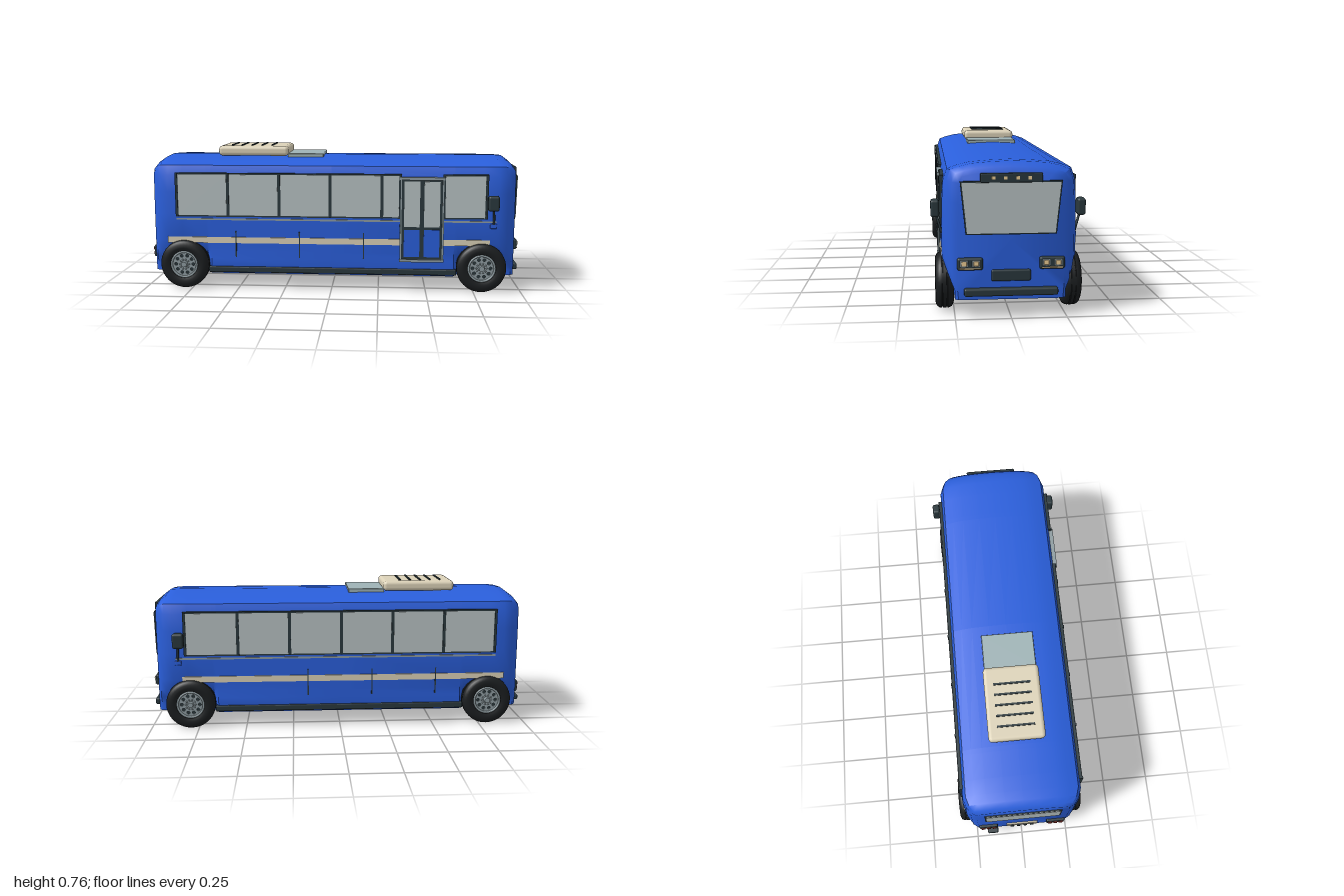
import * as THREE from 'three';
import { toCreasedNormals, mergeVertices } from 'three/addons/utils/BufferGeometryUtils.js';
import { RoundedBoxGeometry } from 'three/addons/geometries/RoundedBoxGeometry.js';

const paint = (color) => new THREE.MeshStandardMaterial({ color });
const BLUE = paint(0x2a5fdc), DARK = paint(0x2a383d), TYRE = paint(0x1b1e20), CREAM = paint(0xdcd2b8);
const GLASS = paint(0xb9c3c4), SILVER = paint(0x8f9da2), PANEL = paint(0x9fb3b6), LAMP = paint(0xf0cf96), RED = paint(0xa03a30);

function add(parent, name, geometry, material, x = 0, y = 0, z = 0) {
  const mesh = new THREE.Mesh(geometry, material);
  mesh.name = name;
  mesh.position.set(x, y, z);
  parent.add(mesh);
  return mesh;
}

// Box given by its limits on each axis
function block(parent, name, material, [x0, x1], [y0, y1], [z0, z1], radius = 0) {
  const size = [x1 - x0, y1 - y0, z1 - z0];
  const geometry = radius ? new RoundedBoxGeometry(...size, 2, radius) : new THREE.BoxGeometry(...size);
  return add(parent, name, geometry, material, (x0 + x1) / 2, (y0 + y1) / 2, (z0 + z1) / 2);
}

// Body shell: one cross-section lofted along x, tapered at the ends and tucked in at the wheels
function bodyGeometry() {
  const half = [[0, 0.08], [0.24, 0.08], [0.3, 0.08], [0.305, 0.12], [0.305, 0.16], [0.305, 0.2], [0.305, 0.26],
    [0.305, 0.4], [0.303, 0.52], [0.297, 0.61], [0.28, 0.66], [0.235, 0.676], [0.18, 0.689], [0.09, 0.696], [0, 0.7]];
  const ring = [...half, ...half.slice(1, -1).reverse().map(([z, y]) => [-z, y])];
  const ends = [[0.645, 1, 1], [0.67, 1, 1], [0.8, 1, 1], [0.875, 1, 1], [0.92, 0.95, 0.97], [0.95, 0.87, 0.75], [0.966, 0.78, 0.55]];
  const stations = [...ends.map(([x, w, t]) => [-x, w, t]).reverse(), [0, 1, 1], ...ends];
  const n = ring.length, points = [], index = [];
  for (const [x, w, t] of stations) {
    for (const [z, y] of ring) {
      let width = Math.abs(z) * w;
      if (Math.abs(x) > 0.65) width = Math.min(width, 0.25 + Math.max(0, y - 0.12) * 0.4);
      points.push(x, y > 0.6 ? 0.6 + (y - 0.6) * t : y, Math.sign(z) * width);
    }
  }
  const last = stations.length - 1, rear = points.length / 3, front = rear + 1;
  points.push(-0.966, 0.35, 0, 0.966, 0.35, 0);
  for (let j = 0; j < n; j++) {
    const k = (j + 1) % n;
    for (let i = 0; i < last; i++) {
      const a = i * n + j, b = a + n, c = i * n + k, d = c + n;
      index.push(a, b, c, b, d, c);
    }
    index.push(rear, j, k, front, last * n + k, last * n + j);
  }
  const geometry = new THREE.BufferGeometry();
  geometry.setAttribute('position', new THREE.Float32BufferAttribute(points, 3));
  geometry.setIndex(index);
  return toCreasedNormals(mergeVertices(geometry), 0.75);
}

// Wheel with its outer face towards +z
function makeWheel() {
  const wheel = new THREE.Group();
  wheel.name = 'wheel';
  const profile = [[0.074, -0.036], [0.09, -0.042], [0.108, -0.041], [0.122, -0.034], [0.129, -0.022], [0.13, -0.013],
    [0.126, -0.012], [0.126, -0.009], [0.13, -0.008], [0.13, 0.008], [0.126, 0.009], [0.126, 0.012], [0.13, 0.013],
    [0.129, 0.022], [0.122, 0.034], [0.108, 0.041], [0.09, 0.042], [0.074, 0.036], [0.07, 0.02], [0.07, -0.02], [0.074, -0.036]];
  const tyre = new THREE.LatheGeometry(profile.map(([r, h]) => new THREE.Vector2(r, h)), 40);
  add(wheel, 'tyre', toCreasedNormals(tyre, 0.6).rotateX(Math.PI / 2), TYRE);

  const disc = new THREE.Shape().absarc(0, 0, 0.064, 0, Math.PI * 2);
  for (let i = 0; i < 10; i++) {
    const a = (i / 10) * Math.PI * 2;
    disc.holes.push(new THREE.Path().absarc(Math.cos(a) * 0.047, Math.sin(a) * 0.047, 0.008, 0, Math.PI * 2, true));
    add(wheel, 'wheelBolt', new THREE.SphereGeometry(0.0045, 8, 6), SILVER, Math.cos(a) * 0.026, Math.sin(a) * 0.026, 0.03);
  }
  add(wheel, 'rimDisc', new THREE.ExtrudeGeometry(disc, { depth: 0.006, bevelEnabled: false, curveSegments: 16 }), SILVER, 0, 0, 0.022);
  add(wheel, 'rimRing', new THREE.TorusGeometry(0.068, 0.006, 8, 36), SILVER, 0, 0, 0.032);
  add(wheel, 'rimBack', new THREE.CylinderGeometry(0.07, 0.07, 0.04, 32).rotateX(Math.PI / 2), DARK);
  add(wheel, 'innerRim', new THREE.CylinderGeometry(0.062, 0.062, 0.01, 32).rotateX(Math.PI / 2), SILVER, 0, 0, -0.023);
  add(wheel, 'hub', new THREE.CylinderGeometry(0.014, 0.018, 0.02, 20).rotateX(Math.PI / 2), SILVER, 0, 0, 0.034);
  return wheel;
}

// Flat panel facing +x, from (z, y) corners
function endPanel(parent, name, material, corners, x, depth) {
  const shape = new THREE.Shape(corners.map(([z, y]) => new THREE.Vector2(-z, y)));
  const geometry = new THREE.ExtrudeGeometry(shape, { depth, bevelEnabled: false }).rotateY(Math.PI / 2);
  return add(parent, name, geometry, material, x);
}

// Windows, trim and mirror of one side, built for +z
function makeSide(hasDoor) {
  const side = new THREE.Group();
  side.name = hasDoor ? 'leftSide' : 'rightSide';
  const bars = hasDoor ? [-0.825, -0.55, -0.277, -0.007, 0.265, 0.362] : [-0.825, -0.55, -0.277, -0.007, 0.265, 0.535, 0.81];
  const runs = hasDoor ? [bars, [0.588, 0.81]] : [bars];
  for (const run of runs) {
    const [a, b] = [run[0], run[run.length - 1]];
    block(side, 'windowFrame', DARK, [a - 0.006, b + 0.006], [0.388, 0.622], [0.285, 0.309]);
    for (let i = 0; i < run.length - 1; i++)
      block(side, 'windowPane', GLASS, [run[i] + 0.008, run[i + 1] - 0.008], [0.396, 0.614], [0.29, 0.311]);
    for (const x of run) block(side, 'windowPillar', DARK, [x - 0.006, x + 0.006], [0.39, 0.62], [0.29, 0.314]);
  }
  const trims = hasDoor ? [[-0.88, 0.36], [0.59, 0.83]] : [[-0.88, 0.83]];
  for (const [a, b] of trims) {
    block(side, 'creamStripe', CREAM, [a, b], [0.246, 0.278], [0.29, 0.31]);
    block(side, 'waistStrip', SILVER, [a + (a < 0 ? 0.05 : 0), b + (b > 0.5 ? 0.03 : 0)], [0.37, 0.379], [0.29, 0.309]);
  }
  for (const x of [-0.51, -0.17, 0.17]) block(side, 'panelSeam', DARK, [x - 0.003, x + 0.003], [0.17, 0.31], [0.29, 0.312]);
  block(side, 'skirtRail', DARK, [-0.66, 0.66], [0.086, 0.118], [0.285, 0.313], 0.006);

  // Mirror
  block(side, 'mirror', DARK, [0.812, 0.87], [0.437, 0.516], [0.314, 0.354], 0.012);
  block(side, 'mirrorBase', BLUE, [0.83, 0.865], [0.34, 0.364], [0.285, 0.31], 0.004);
  const arm = new THREE.CatmullRomCurve3([[0.848, 0.352, 0.302], [0.848, 0.39, 0.312], [0.842, 0.45, 0.33]].map((p) => new THREE.Vector3(...p)));
  add(side, 'mirrorArm', new THREE.TubeGeometry(arm, 8, 0.006, 8), DARK);

  for (const x of [-0.79, 0.79]) {
    const wheel = makeWheel();
    wheel.position.set(x, 0.13, 0.293);
    side.add(wheel);
  }
  return side;
}

// Folding entrance door
function makeDoor() {
  const door = new THREE.Group();
  door.name = 'door';
  block(door, 'doorFrame', DARK, [0.36, 0.59], [0.16, 0.605], [0.285, 0.312]);
  for (const [a, b] of [[0.378, 0.468], [0.482, 0.572]]) {
    block(door, 'doorWindow', GLASS, [a + 0.004, b - 0.004], [0.345, 0.585], [0.29, 0.315]);
    block(door, 'doorLowerPanel', BLUE, [a + 0.004, b - 0.004], [0.185, 0.33], [0.29, 0.315]);
  }
  for (const y of [0.165, 0.6]) block(door, 'doorRail', SILVER, [0.358, 0.592], [y - 0.007, y + 0.007], [0.29, 0.32]);
  for (const x of [0.366, 0.584]) block(door, 'doorEdge', SILVER, [x - 0.003, x + 0.003], [0.165, 0.6], [0.29, 0.317]);
  return door;
}

export function createModel() {
  const bus = new THREE.Group();
  bus.name = 'bus';
  add(bus, 'body', bodyGeometry(), BLUE);
  const right = makeSide(false);
  // Mirror the side across z = 0
  right.scale.z = -1;
  bus.add(makeSide(true), right, makeDoor());

  // Front end
  endPanel(bus, 'windshieldFrame', DARK, [[0.226, 0.613], [-0.226, 0.613], [-0.202, 0.376], [0.202, 0.376]], 0.955, 0.02);
  endPanel(bus, 'windshield', GLASS, [[0.219, 0.607], [-0.219, 0.607], [-0.196, 0.382], [0.196, 0.382]], 0.96, 0.018);
  block(bus, 'destinationBox', DARK, [0.94, 0.985], [0.607, 0.648], [-0.137, 0.137], 0.005);
  for (const z of [-0.08, -0.027, 0.027, 0.08]) block(bus, 'markerLamp', LAMP, [0.975, 0.988], [0.621, 0.635], [z - 0.008, z + 0.008]);
  for (const s of [-1, 1]) {
    const z = s * 0.183;
    block(bus, 'headlightHousing', DARK, [0.945, 0.982], [0.217, 0.273], [z - 0.057, z + 0.057], 0.01);
    block(bus, 'headlightStrip', LAMP, [0.96, 0.985], [0.223, 0.228], [z - 0.046, z + 0.046]);
    for (const d of [-0.027, 0.027]) {
      block(bus, 'headlightRim', SILVER, [0.96, 0.986], [0.233, 0.264], [z + d - 0.018, z + d + 0.018], 0.004);
      block(bus, 'headlight', LAMP, [0.965, 0.99], [0.238, 0.259], [z + d - 0.012, z + d + 0.012], 0.004);
    }
  }
  block(bus, 'grille', DARK, [0.95, 0.978], [0.165, 0.217], [-0.088, 0.088], 0.008);
  block(bus, 'frontBumper', DARK, [0.945, 0.993], [0.1, 0.135], [-0.21, 0.21], 0.009);

  // Rear end
  block(bus, 'rearWindowFrame', DARK, [-0.972, -0.95], [0.396, 0.566], [-0.196, 0.196]);
  block(bus, 'rearWindow', GLASS, [-0.975, -0.95], [0.402, 0.56], [-0.19, 0.19]);
  block(bus, 'rearPlate', CREAM, [-0.975, -0.95], [0.142, 0.2], [-0.085, 0.085], 0.005);
  for (const z of [-0.054, -0.018, 0.018, 0.054]) block(bus, 'plateStud', DARK, [-0.982, -0.96], [0.157, 0.185], [z - 0.01, z + 0.01], 0.004);
  for (const s of [-1, 1]) {
    block(bus, 'tailLightHousing', DARK, [-0.98, -0.94], [0.15, 0.213], [s * 0.183 - 0.05, s * 0.183 + 0.05], 0.008);
    for (const d of [-0.03, 0, 0.03]) {
      block(bus, 'tailLight', RED, [-0.985, -0.96], [0.186, 0.203], [s * 0.183 + d - 0.011, s * 0.183 + d + 0.011], 0.004);
      block(bus, 'rearIndicator', RED, [-0.985, -0.96], [0.16, 0.177], [s * 0.183 + d - 0.011, s * 0.183 + d + 0.011], 0.004);
    }
  }
  block(bus, 'exhaust', DARK, [-1, -0.93], [0.09, 0.118], [-0.19, -0.132], 0.008);

  // Roof unit and hatch
  block(bus, 'roofUnit', CREAM, [-0.63, -0.245], [0.698, 0.752], [-0.143, 0.143], 0.02);
  for (let i = 0; i < 5; i++) {
    const x = -0.56 + i * 0.055;
    block(bus, 'roofVent', DARK, [x - 0.005, x + 0.005], [0.74, 0.757], [-0.095, 0.095]);
  }
  block(bus, 'roofHatch', PANEL, [-0.25, -0.055], [0.69, 0.712], [-0.135, 0.135], 0.004);
  return bus;
}
